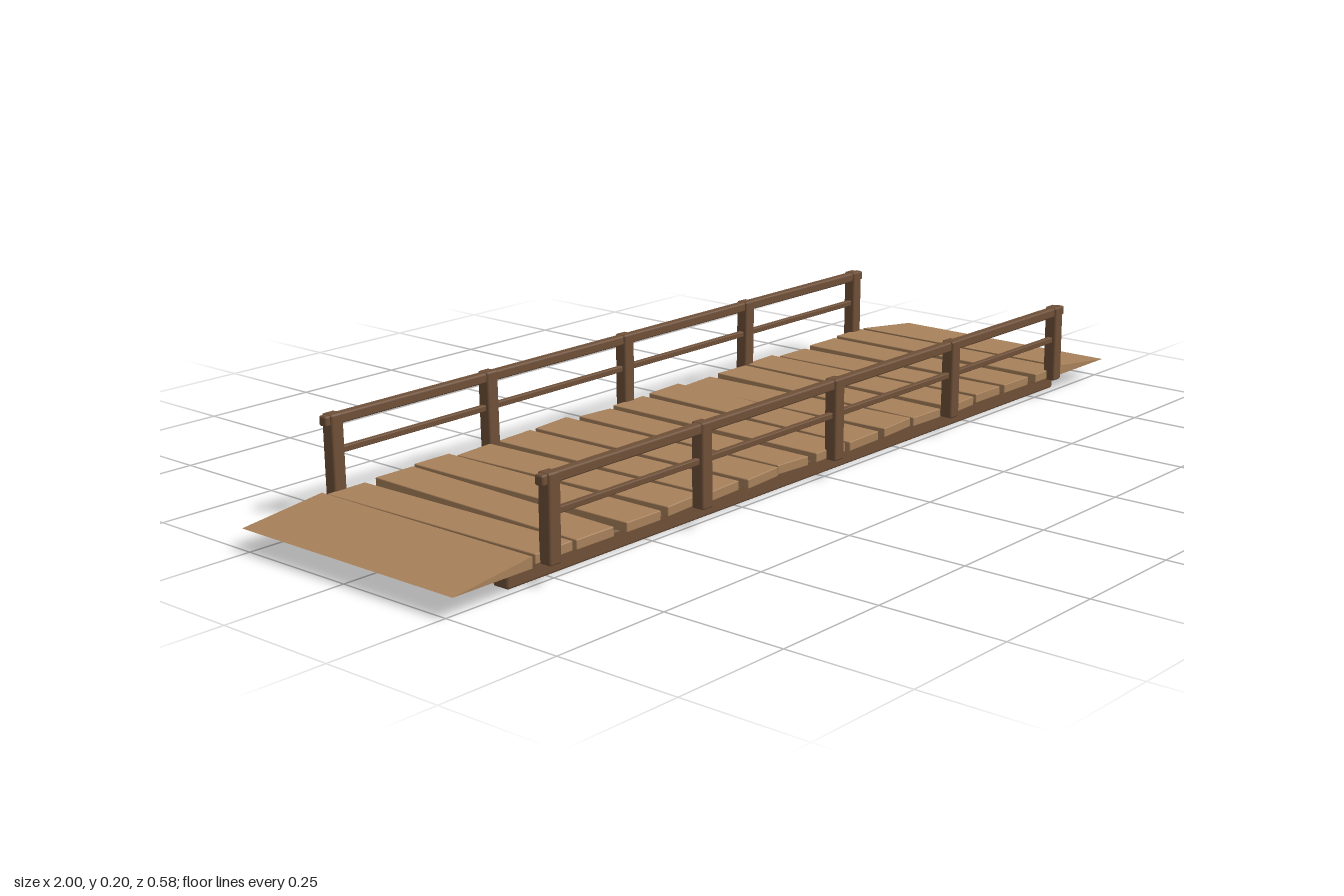
import * as THREE from 'three';
import { RoundedBoxGeometry } from 'three/addons/geometries/RoundedBoxGeometry.js';

const plankWood = new THREE.MeshStandardMaterial({ color: 0xa8815b });
const darkWood = new THREE.MeshStandardMaterial({ color: 0x6f5038 });

export function createModel() {
  const model = new THREE.Group();
  model.name = 'footbridge';

  // Timber with softened edges
  function timber(name, size, position, material, bevel = 0.004) {
    const mesh = new THREE.Mesh(new RoundedBoxGeometry(...size, 1, bevel), material);
    mesh.name = name;
    mesh.position.set(...position);
    model.add(mesh);
    return mesh;
  }

  // Deck planks, each laid slightly askew
  const yaw = [0.01, -0.03, 0.015, 0.035, 0.02, 0.03, -0.015, 0, -0.02, 0.02, -0.025, 0.015, 0.01, -0.01, 0.015];
  const roll = [0, 0.01, -0.01, 0.02, 0.02, 0.03, -0.03, 0.01, 0.03, 0.03, 0, 0.02, -0.01, 0, -0.01];
  const spacing = 0.109;
  yaw.forEach((angle, i) => {
    const length = 0.525 + 0.006 * (i % 3);
    const plank = timber('deckPlank', [0.091, 0.019, length],
      [(i - 7) * spacing, 0.05 + 0.001 * (i % 3), 0], plankWood, 0.002);
    plank.rotation.set(0.004 * ((i % 3) - 1), angle, roll[i]);
  });

  // Support beams and railings on both sides
  for (const side of [1, -1]) {
    timber('supportBeam', [1.69, 0.037, 0.037], [0, 0.0215 - 0.003, side * 0.217], darkWood, 0.005);

    const z = side * 0.273;
    for (let i = -2; i <= 2; i++) {
      const post = timber('railPost', [0.028, 0.163, 0.028], [i * 0.39, 0.121, z], darkWood);
      post.rotation.set(0.01 * (i % 2), 0, 0.008 * side * Math.sign(i));
    }
    timber('topRail', [1.61, 0.02, 0.02], [0, 0.191, z], darkWood);
    timber('middleRail', [1.56, 0.012, 0.012], [0, 0.13, z], darkWood, 0.002);
  }

  // Wedge ramps at both ends, tapering down to a thin tip
  for (const side of [1, -1]) {
    const profile = new THREE.Shape([
      new THREE.Vector2(0.818, 0.04),
      new THREE.Vector2(1, 0.04),
      new THREE.Vector2(0.818, 0.061),
    ]);
    const geometry = new THREE.ExtrudeGeometry(profile, { depth: 0.536, bevelEnabled: false });
    geometry.translate(0, 0, -0.268);
    if (side < 0) geometry.rotateY(Math.PI);
    const ramp = new THREE.Mesh(geometry, plankWood);
    ramp.name = side > 0 ? 'leftRamp' : 'rightRamp';
    model.add(ramp);
  }

  return model;
}
